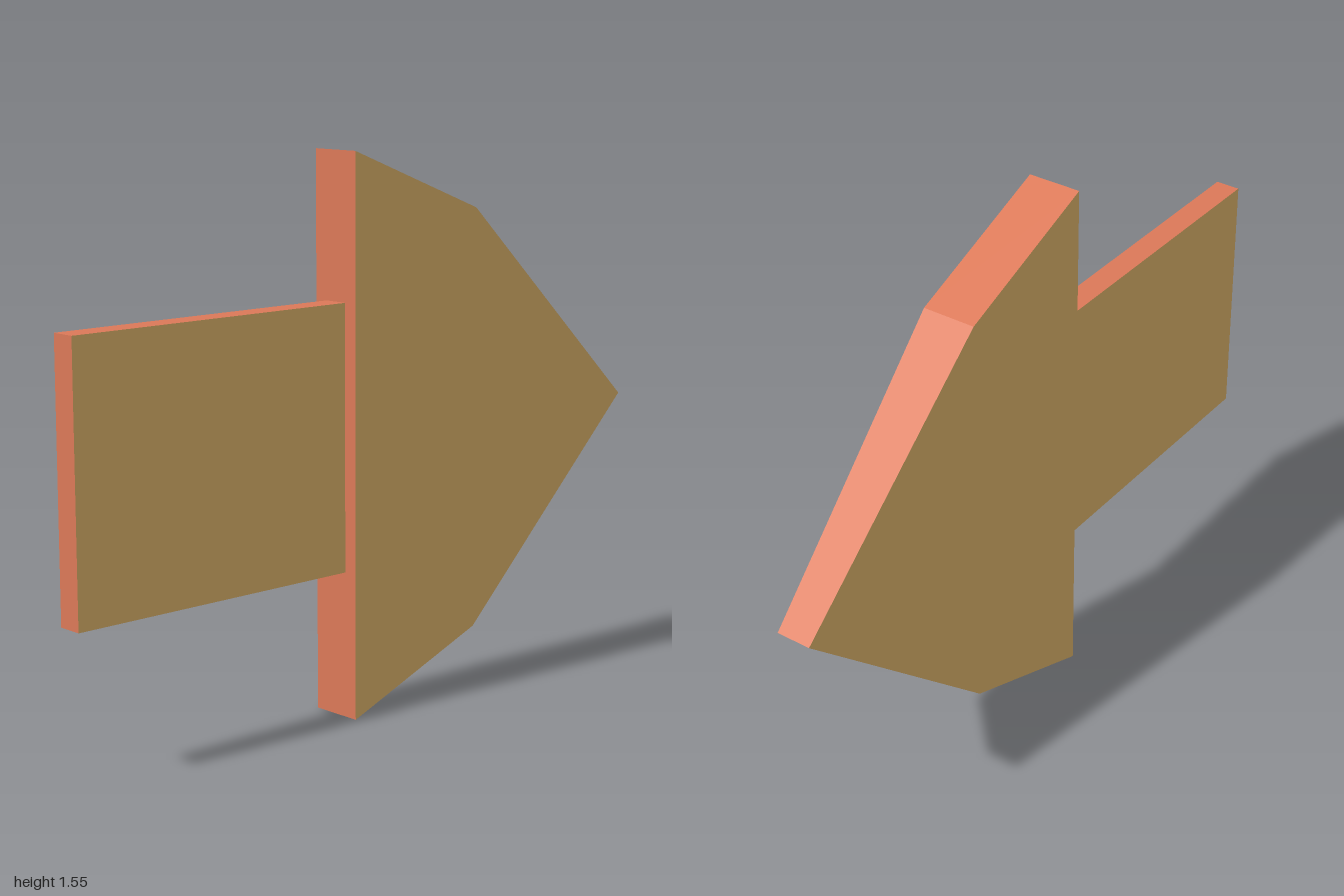
import * as THREE from 'three';

export function createModel() {
  const model = new THREE.Group();
  model.name = 'arrowSign';

  const faceTan = new THREE.MeshStandardMaterial({ color: 0xdcb36a });
  faceTan.name = 'tan faces';
  const edgeOrange = new THREE.MeshStandardMaterial({ color: 0xdc7958 });
  edgeOrange.name = 'orange edges';

  // Arrow head outline as [z, y, half thickness], thinning towards the tip
  const outline = [
    [0.107, 0, 0.077],
    [-0.35, 0.18, 0.077],
    [-1, 0.777, 0.05],
    [-0.35, 1.375, 0.077],
    [0.107, 1.55, 0.077],
  ];
  const point = (i, side) => [side * outline[i][2], outline[i][1], outline[i][0]];
  const positions = [];

  // Two broad faces, creased between the shoulders
  for (const [a, b, c] of [[0, 1, 3], [0, 3, 4], [1, 2, 3]]) {
    positions.push(...point(a, 1), ...point(b, 1), ...point(c, 1));
    positions.push(...point(c, -1), ...point(b, -1), ...point(a, -1));
  }
  const faceCount = positions.length / 3;

  // Rim around the outline
  for (let i = 0; i < outline.length; i++) {
    const j = (i + 1) % outline.length;
    positions.push(...point(i, 1), ...point(i, -1), ...point(j, -1));
    positions.push(...point(i, 1), ...point(j, -1), ...point(j, 1));
  }
  const headGeometry = new THREE.BufferGeometry();
  headGeometry.setAttribute('position', new THREE.Float32BufferAttribute(positions, 3));
  headGeometry.computeVertexNormals();
  headGeometry.addGroup(0, faceCount, 0);
  headGeometry.addGroup(faceCount, positions.length / 3 - faceCount, 1);
  const head = new THREE.Mesh(headGeometry, [faceTan, edgeOrange]);
  head.name = 'arrowHead';
  model.add(head);

  // Flat shaft: tan on the two sides, orange on the narrow edges
  const shaft = new THREE.Mesh(
    new THREE.BoxGeometry(0.072, 0.738, 0.893),
    [faceTan, faceTan, edgeOrange, edgeOrange, edgeOrange, edgeOrange]
  );
  shaft.name = 'arrowShaft';
  shaft.position.set(0, 0.777, 0.5535);
  model.add(shaft);

  return model;
}
